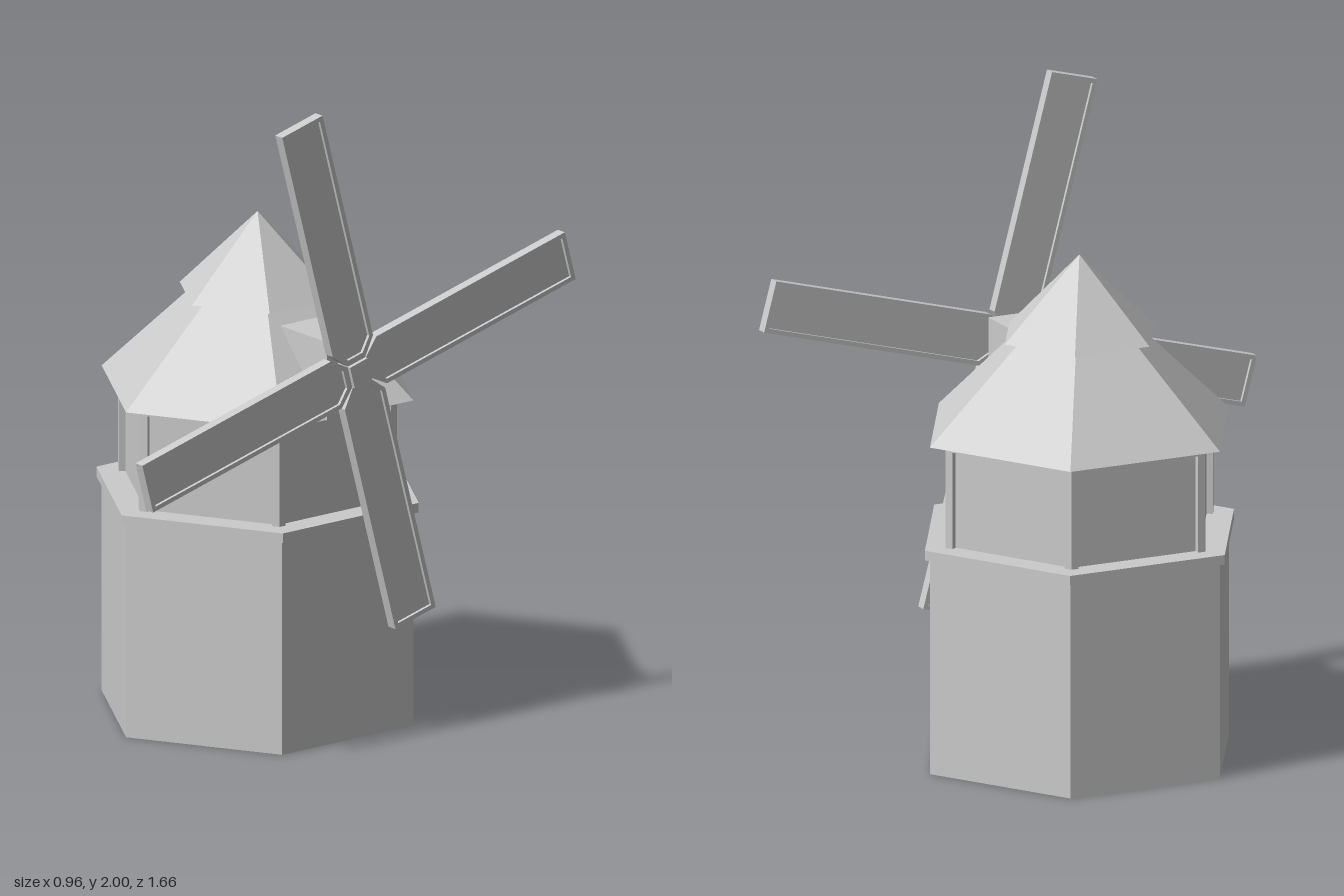
import * as THREE from 'three';

const AXIS_X = -0.03; // the tower stands slightly off-centre, the sails take up the rest
const material = new THREE.MeshStandardMaterial({ color: 0xcccccc, flatShading: true });

function add(parent, name, geometry, x = 0, y = 0, z = 0) {
  const mesh = new THREE.Mesh(geometry, material);
  mesh.name = name;
  mesh.position.set(x, y, z);
  parent.add(mesh);
  return mesh;
}

// Six-sided tower section with corners on +z and -z
function hexSection(parent, name, rBottom, rTop, y0, y1) {
  return add(parent, name, new THREE.CylinderGeometry(rTop, rBottom, y1 - y0, 6), 0, (y0 + y1) / 2, 0);
}

function outline(points, PathType = THREE.Shape) {
  return new PathType(points.map(([x, y]) => new THREE.Vector2(x, y)));
}

function hexPoints(r) {
  return Array.from({ length: 6 }, (_, i) => [r * Math.sin(i * Math.PI / 3), r * Math.cos(i * Math.PI / 3)]);
}

// Plate outline of a sail: long rectangle tapering towards the hub
function sailPoints(halfWidth, tip, shoulder, rootHalf, root) {
  return [[-rootHalf, root], [rootHalf, root], [halfWidth, shoulder],
    [halfWidth, tip], [-halfWidth, tip], [-halfWidth, shoulder]];
}

function extrude(shape, depth) {
  return new THREE.ExtrudeGeometry(shape, { depth, bevelEnabled: false });
}

export function createModel() {
  const model = new THREE.Group();
  model.name = 'windmill';

  const tower = new THREE.Group();
  tower.name = 'tower';
  tower.position.x = AXIS_X;
  model.add(tower);

  // Body, ledge and recessed upper room
  hexSection(tower, 'base', 0.505, 0.505, 0, 0.67);
  hexSection(tower, 'ledge', 0.522, 0.522, 0.67, 0.7);
  hexSection(tower, 'upperRoom', 0.43, 0.43, 0.7, 1.02);

  // Beam around the top of the upper room
  const ring = outline(hexPoints(0.45));
  ring.holes.push(outline(hexPoints(0.42), THREE.Path));
  add(tower, 'topBeam', extrude(ring, 0.02).rotateX(-Math.PI / 2), 0, 1.0, 0);

  // Angled post on each corner
  const R = 0.452, w = 0.024;
  const post = extrude(outline([
    [R, 0], [R - 0.5 * w, 0.866 * w], [R - 0.5 * w - 0.026, 0.866 * w - 0.015],
    [R - 0.05, 0], [R - 0.5 * w - 0.026, -0.866 * w + 0.015], [R - 0.5 * w, -0.866 * w],
  ]), 0.31).rotateX(-Math.PI / 2);
  for (let i = 0; i < 6; i++) {
    add(tower, 'cornerPost', post, 0, 0.7, 0).rotation.y = Math.PI / 6 + i * Math.PI / 3;
  }

  // Two-tier roof
  hexSection(tower, 'lowerRoof', 0.505, 0.202, 1.02, 1.31);
  hexSection(tower, 'upperRoof', 0.252, 0, 1.31, 1.56);

  // Housing that carries the sail shaft
  add(model, 'shaftHousing', new THREE.BoxGeometry(0.31, 0.245, 0.166), 0.257, 1.1425, 0);

  // Rotor: hub and four framed sails
  const rotor = new THREE.Group();
  rotor.name = 'rotor';
  rotor.position.set(0.445, 1.167, 0);
  rotor.rotation.x = THREE.MathUtils.degToRad(15);
  model.add(rotor);
  add(rotor, 'hub', new THREE.BoxGeometry(0.062, 0.07, 0.07), -0.003, 0, 0);

  const inner = sailPoints(0.066, 0.826, 0.094, 0.029, 0.054);
  const frame = outline(sailPoints(0.08, 0.84, 0.09, 0.034, 0.036));
  frame.holes.push(outline(inner, THREE.Path));
  const frameGeometry = extrude(frame, 0.034).translate(0, 0, -0.017).rotateY(Math.PI / 2);
  const panelGeometry = extrude(outline(inner), 0.014).translate(0, 0, -0.007).rotateY(Math.PI / 2);
  for (let i = 0; i < 4; i++) {
    const sail = new THREE.Group();
    sail.name = 'sail';
    sail.rotation.x = i * Math.PI / 2;
    add(sail, 'sailFrame', frameGeometry);
    add(sail, 'sailPanel', panelGeometry);
    rotor.add(sail);
  }
  return model;
}
